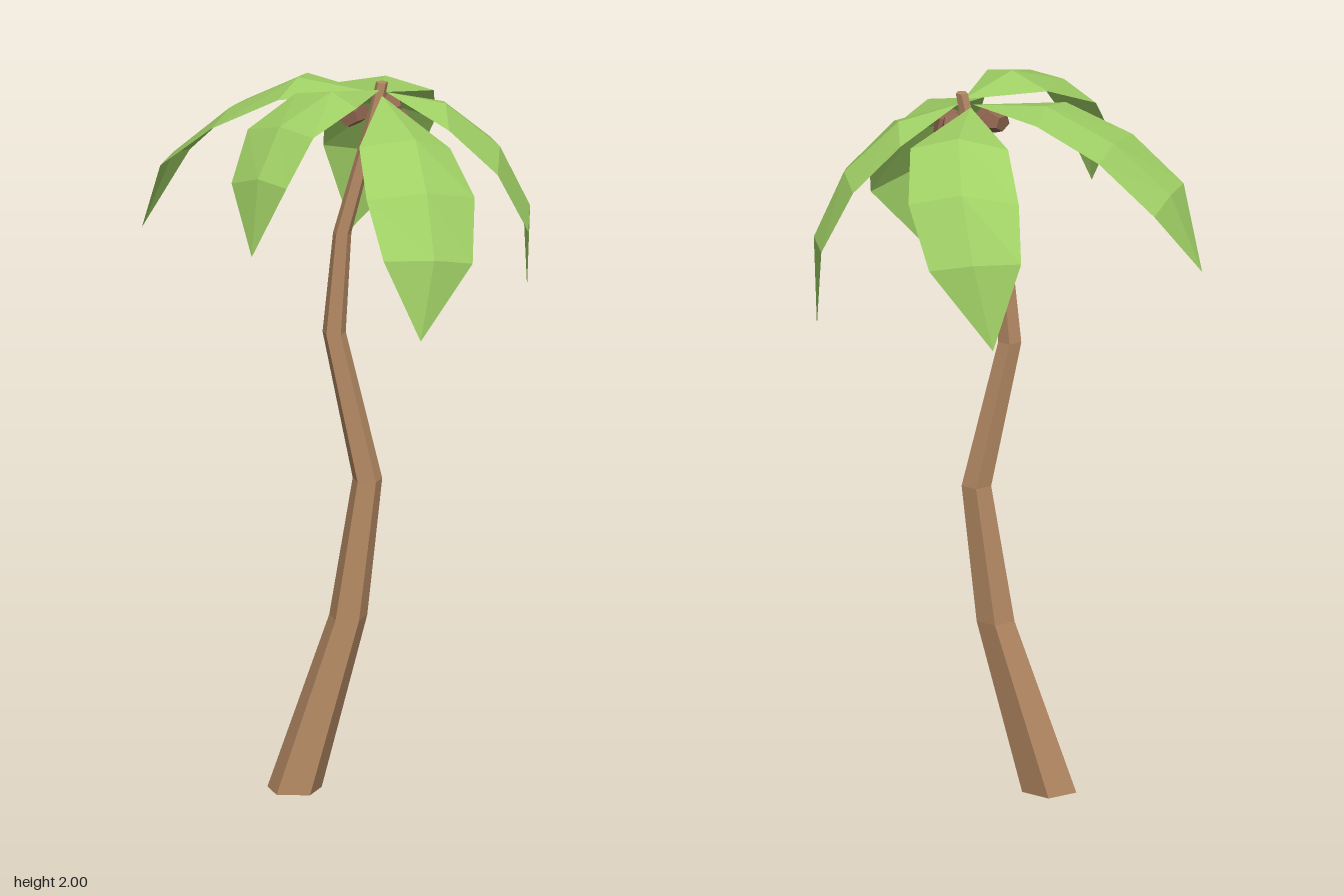
import * as THREE from 'three';

const bark = new THREE.MeshStandardMaterial({ color: 0xb58a64, flatShading: true });
bark.name = 'bark brown';
const shell = new THREE.MeshStandardMaterial({ color: 0x8f6650, flatShading: true });
shell.name = 'coconut brown';
const leaf = new THREE.MeshStandardMaterial({ color: 0xa0d065, flatShading: true, side: THREE.DoubleSide });
leaf.name = 'leaf green';

// Trunk rings from the ground up: [x, y, z, radius]
const RINGS = [
  [-0.107, 0, 0.022, 0.077],
  [0.038, 0.485, 0.016, 0.054],
  [0.09, 0.87, 0.014, 0.042],
  [0, 1.28, 0.013, 0.033],
  [0.022, 1.56, 0.013, 0.026],
  [0.105, 1.87, 0.014, 0.021],
  [0.13, 1.985, 0.014, 0.017],
];

// Each frond: a base point, three cross-sections (left edge, midrib, right edge) and a tip
const FRONDS = {
  frondRight: {
    base: [0.1, 1.955, 0.005],
    rows: [
      [[-0.08, 1.955, -0.175], [-0.1, 1.975, -0.06], [-0.15, 1.945, 0.065]],
      [[-0.25, 1.865, -0.22], [-0.285, 1.88, -0.09], [-0.33, 1.86, 0.055]],
      [[-0.4, 1.72, -0.23], [-0.44, 1.745, -0.115], [-0.47, 1.74, 0]],
    ],
    tip: [-0.525, 1.53, -0.125],
  },
  frondBack: {
    base: [0.105, 1.95, -0.005],
    rows: [
      [[0.26, 1.9, -0.21], [0.13, 1.935, -0.225], [-0.005, 1.91, -0.24]],
      [[0.26, 1.785, -0.34], [0.115, 1.82, -0.365], [-0.04, 1.8, -0.38]],
      [[0.2, 1.63, -0.445], [0.08, 1.655, -0.47], [-0.05, 1.665, -0.48]],
    ],
    tip: [0.025, 1.425, -0.505],
  },
  frondFrontRight: {
    base: [0.125, 1.965, 0.02],
    rows: [
      [[-0.1, 1.97, 0.08], [0, 2, 0.165], [0.07, 1.975, 0.24]],
      [[-0.225, 1.9, 0.195], [-0.135, 1.935, 0.29], [-0.04, 1.93, 0.38]],
      [[-0.265, 1.775, 0.29], [-0.19, 1.81, 0.37], [-0.11, 1.805, 0.445]],
    ],
    tip: [-0.205, 1.605, 0.42],
  },
  frondFrontLeft: {
    base: [0.13, 1.95, 0.025],
    rows: [
      [[0.08, 1.88, 0.29], [0.23, 1.89, 0.24], [0.32, 1.84, 0.15]],
      [[0.105, 1.765, 0.405], [0.265, 1.77, 0.35], [0.39, 1.73, 0.245]],
      [[0.155, 1.62, 0.5], [0.29, 1.61, 0.45], [0.39, 1.58, 0.37]],
    ],
    tip: [0.255, 1.395, 0.495],
  },
  frondLeft: {
    base: [0.14, 1.955, 0.005],
    rows: [
      [[0.315, 1.875, 0.1], [0.3, 1.915, -0.03], [0.29, 1.885, -0.155]],
      [[0.445, 1.745, 0.075], [0.445, 1.785, -0.07], [0.415, 1.77, -0.21]],
      [[0.525, 1.57, 0.015], [0.525, 1.61, -0.105], [0.5, 1.605, -0.225]],
    ],
    tip: [0.515, 1.37, -0.145],
  },
};

// Five-sided cylinder whose rows follow the bends of the trunk
function trunkGeometry() {
  const n = RINGS.length - 1;
  const g = new THREE.CylinderGeometry(1, 1, 1, 5, n, false, Math.PI);
  const p = g.attributes.position;
  for (let i = 0; i < p.count; i++) {
    const [x, y, z, r] = RINGS[Math.round((p.getY(i) + 0.5) * n)];
    p.setXYZ(i, x + p.getX(i) * r, y, z + p.getZ(i) * r);
  }
  g.computeVertexNormals();
  return g;
}

// Folded leaf: fan from the base, strips between cross-sections, fan to the tip
function frondGeometry({ base, rows, tip }) {
  const pos = [];
  const sections = [[base, base, base], ...rows, [tip, tip, tip]];
  for (let i = 0; i < sections.length - 1; i++) {
    for (let k = 0; k < 2; k++) {
      const [a, b] = [sections[i][k], sections[i][k + 1]];
      const [c, d] = [sections[i + 1][k], sections[i + 1][k + 1]];
      if (a !== b) pos.push(...a, ...(c === d ? c : d), ...b);
      if (c !== d) pos.push(...a, ...c, ...d);
    }
  }
  // Turn every triangle so that its front faces upwards
  for (let t = 0; t < pos.length; t += 9) {
    const [ax, , az, bx, , bz, cx, , cz] = pos.slice(t, t + 9);
    if ((bz - az) * (cx - ax) - (bx - ax) * (cz - az) < 0) {
      const second = pos.slice(t + 3, t + 6);
      pos.splice(t + 3, 6, ...pos.slice(t + 6, t + 9), ...second);
    }
  }
  const g = new THREE.BufferGeometry();
  g.setAttribute('position', new THREE.Float32BufferAttribute(pos, 3));
  g.computeVertexNormals();
  return g;
}

export function createModel() {
  const palm = new THREE.Group();
  palm.name = 'palmTree';
  const add = (name, geometry, material) => {
    const mesh = new THREE.Mesh(geometry, material);
    mesh.name = name;
    palm.add(mesh);
    return mesh;
  };

  add('trunk', trunkGeometry(), bark);
  for (const [name, data] of Object.entries(FRONDS)) add(name, frondGeometry(data), leaf);

  // Coconuts clustered under the crown
  [[0.048, 1.905, 0.035], [0.165, 1.885, 0.05], [0.145, 1.895, -0.035]].forEach((at, i) => {
    const nut = add('coconut' + (i + 1), new THREE.DodecahedronGeometry(0.044), shell);
    nut.position.set(...at);
    nut.rotation.set(i, 0.4 + i * 2, 0.3);
    nut.scale.set(1.1, 0.9, 1);
  });
  return palm;
}
